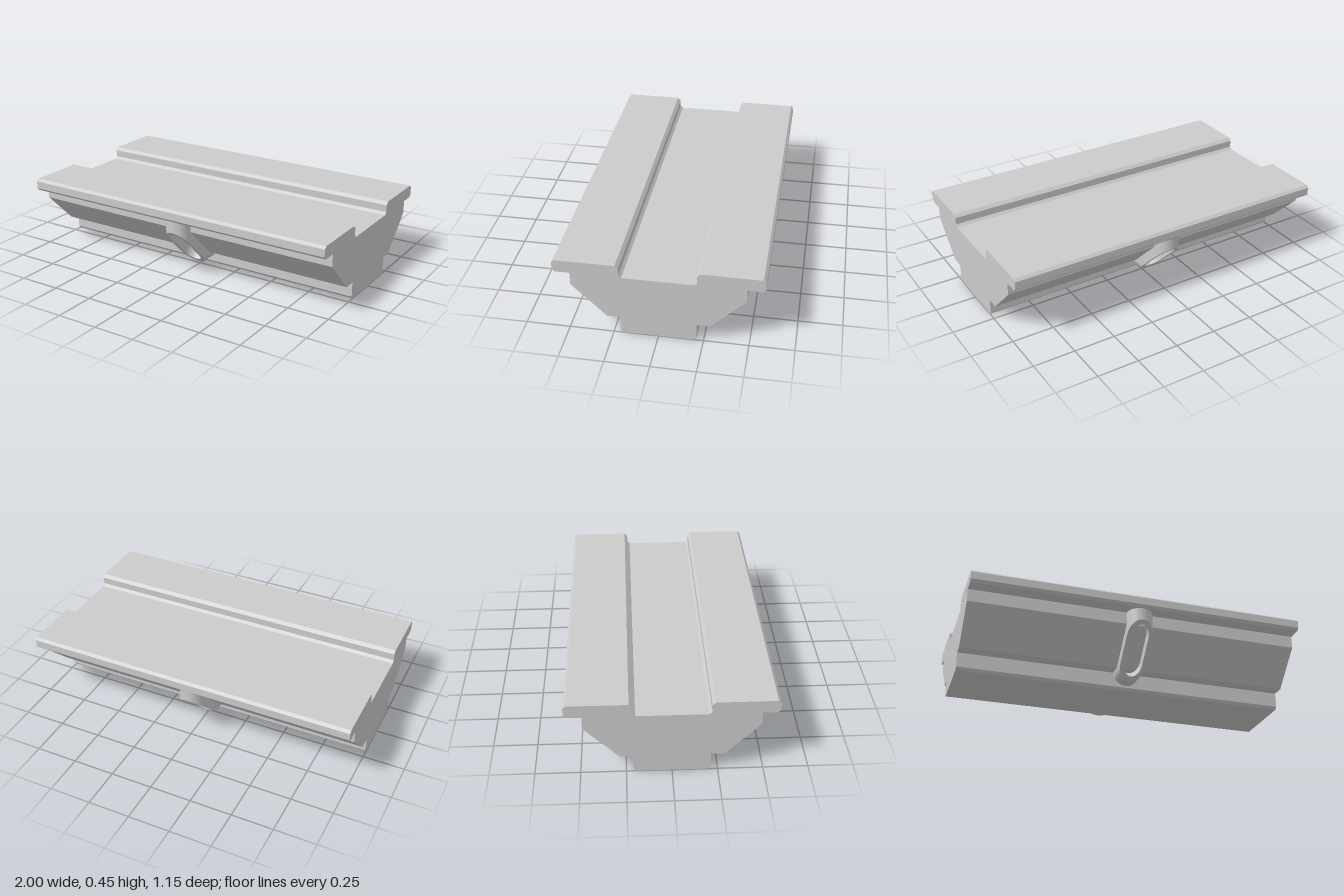
import * as THREE from 'three';
import { toCreasedNormals } from 'three/addons/utils/BufferGeometryUtils.js';

const material = new THREE.MeshStandardMaterial({ color: 0xcccccc });

// Beam: mirrored (z, y) half profile extruded along x
function beamGeometry() {
  const half = [
    [0.197, 0], [0.212, 0.016], [0.212, 0.105], [0.285, 0.105], [0.48, 0.3], [0.48, 0.375],
    [0.562, 0.375], [0.577, 0.39], [0.577, 0.435], [0.562, 0.45], [0.23, 0.45],
    [0.212, 0.432], [0.212, 0.39], [0.197, 0.375],
  ];
  const mirrored = half.map(([z, y]) => [-z, y]).reverse();
  const shape = new THREE.Shape([...half, ...mirrored].map(([z, y]) => new THREE.Vector2(z, y)));
  const geometry = new THREE.ExtrudeGeometry(shape, { depth: 2, bevelEnabled: false });
  return geometry.translate(0, 0, -1).rotateY(-Math.PI / 2);
}

// Bracket: a vertical and a horizontal half round, cut by a 45 degree face with a slot in it
function bracketGeometry() {
  const steps = 20, r = 0.077, slot = 0.055;
  const yTop = 0.225, yBottom = 0.105, faceOffset = 0.255, depth = 0.0375;
  const loops = [[], [], [], []]; // root, face rim, slot rim, slot floor
  for (const upper of [true, false]) {
    for (let i = 0; i <= steps; i++) {
      const a = Math.PI * (i / steps + (upper ? 0 : 1));
      const c = Math.cos(a), s = Math.sin(a);
      const yc = upper ? yTop : yBottom;
      const y = yc + r * s, z = y + faceOffset;
      const ys = yc + slot * s, zs = ys + faceOffset;
      loops[0].push(upper ? [r * c, 0.375, z] : [r * c, y, 0.21]);
      loops[1].push([r * c, y, z]);
      loops[2].push([slot * c, ys, zs]);
      loops[3].push([slot * c, ys + depth, zs - depth]);
    }
  }
  const n = loops[0].length, index = [];
  for (let k = 0; k < loops.length - 1; k++) {
    for (let i = 0; i < n; i++) {
      const j = (i + 1) % n, a = k * n, b = a + n;
      index.push(a + i, a + j, b + i, a + j, b + j, b + i);
    }
  }
  const geometry = new THREE.BufferGeometry();
  geometry.setAttribute('position', new THREE.Float32BufferAttribute(loops.flat(2), 3));
  geometry.setIndex(index);
  return toCreasedNormals(geometry, 0.5);
}

export function createModel() {
  const group = new THREE.Group();

  const beam = new THREE.Mesh(beamGeometry(), material);
  beam.name = 'beam';
  group.add(beam);

  // One slotted bracket on each long side
  const geometry = bracketGeometry().translate(0.012, 0, 0);
  ['frontBracket', 'backBracket'].forEach((name, i) => {
    const bracket = new THREE.Mesh(geometry, material);
    bracket.name = name;
    bracket.rotation.y = i * Math.PI;
    group.add(bracket);
  });
  return group;
}
